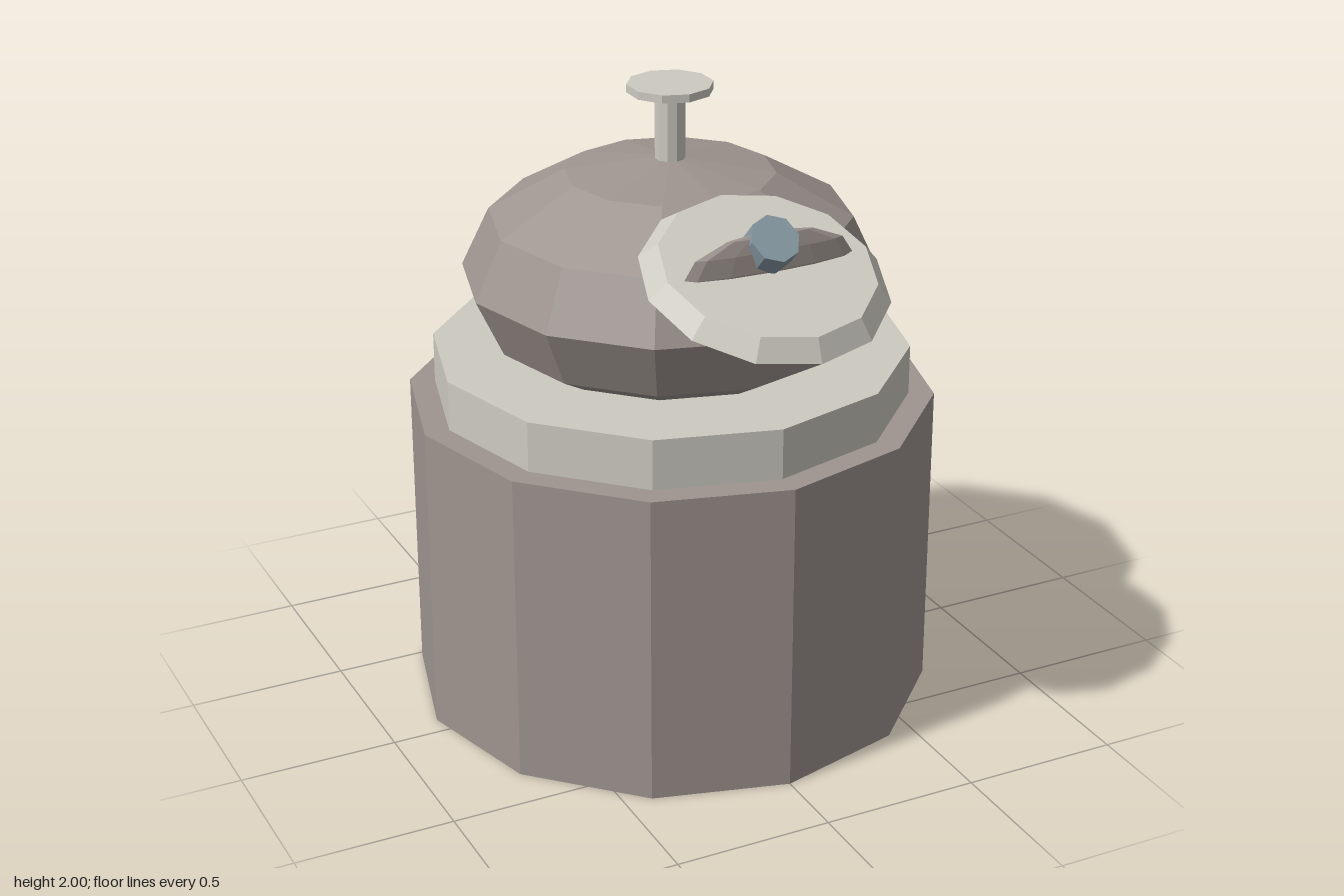
import * as THREE from 'three';

export function createModel() {
  const model = new THREE.Group();
  model.name = 'canister';

  const material = (name, color) => {
    const m = new THREE.MeshStandardMaterial({ color, flatShading: true });
    m.name = name;
    return m;
  };
  const taupe = material('warm grey', 0x9e948f);
  const pale = material('pale grey', 0xcdcac1);
  const blue = material('steel blue', 0x8799a4);

  const add = (parent, name, geometry, mat, x, y, z) => {
    const mesh = new THREE.Mesh(geometry, mat);
    mesh.name = name;
    mesh.position.set(x, y, z);
    parent.add(mesh);
    return mesh;
  };
  // Upright faceted drum between two heights
  const axisZ = -0.07;
  const drum = (name, radius, y0, y1, sides, mat) =>
    add(model, name, new THREE.CylinderGeometry(radius, radius, y1 - y0, sides), mat, 0, (y0 + y1) / 2, axisZ);

  // Body and collar
  drum('body', 0.83, 0, 1, 12, taupe);
  drum('collar', 0.75, 1, 1.16, 12, pale);

  // Flattened dome
  const dome = new THREE.SphereGeometry(0.65, 12, 6).scale(1, 0.37 / 0.65, 1);
  add(model, 'dome', dome, taupe, 0, 1.4, axisZ);

  // Knob on top
  drum('knobStem', 0.047, 1.7, 1.98, 10, pale);
  drum('knobCap', 0.133, 1.975, 2, 10, pale);

  // Tilted bevelled hatch leaning off the front of the dome
  const hatch = add(model, 'hatch', new THREE.CylinderGeometry(0.322, 0.372, 0.058, 12), pale, 0, 1.61, 0.562);
  hatch.rotation.x = 0.36;

  // Thin upright fin across the hatch
  const fin = new THREE.SphereGeometry(1, 12, 6).scale(0.275, 0.115, 0.027);
  add(model, 'fin', fin, taupe, 0, 1.63, 0.579);

  // Peg through the fin, pointing forward and up
  const peg = add(model, 'peg', new THREE.CylinderGeometry(0.076, 0.076, 0.212, 8), blue, 0, 1.655, 0.538);
  peg.rotation.x = Math.PI / 4;

  return model;
}
